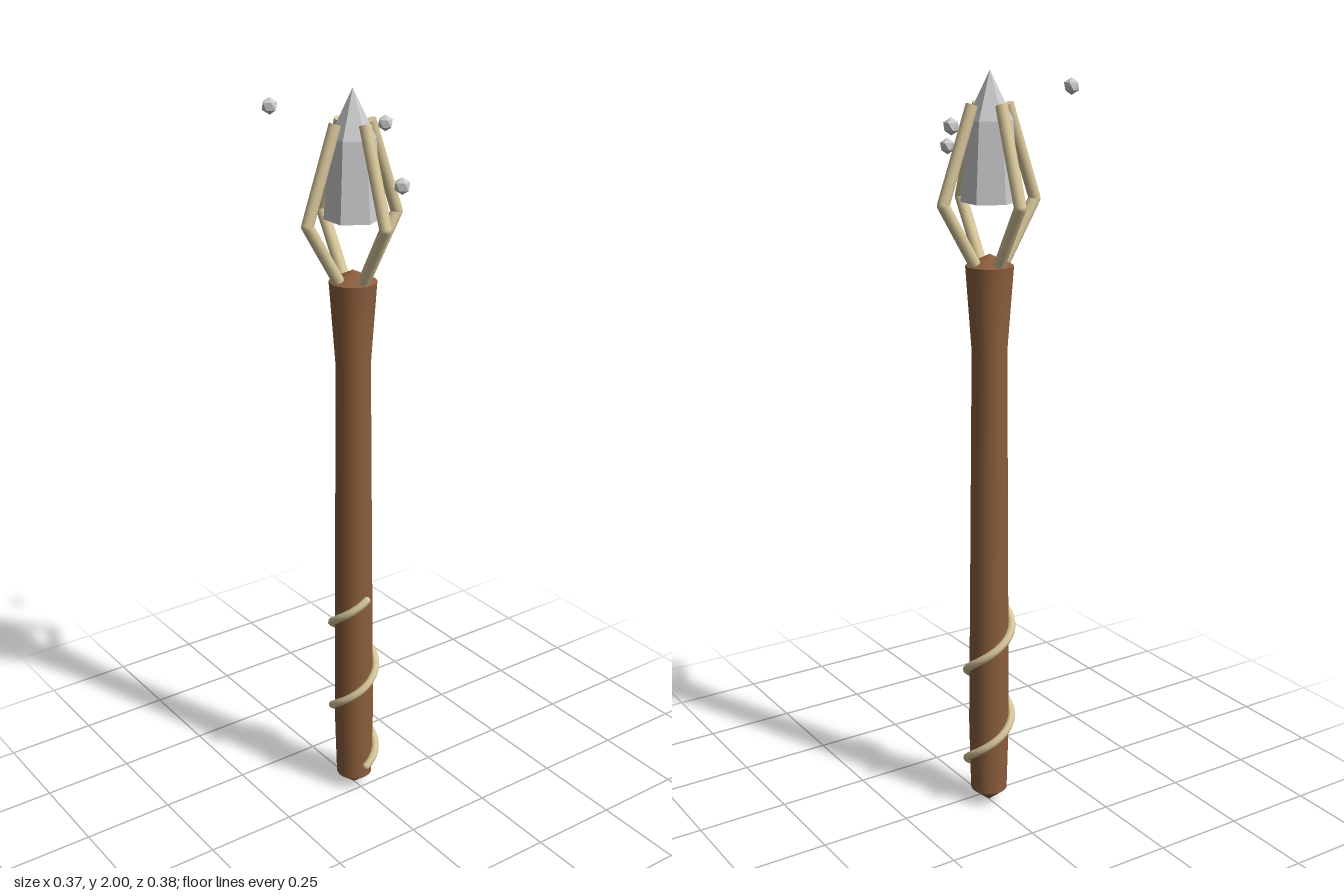
import * as THREE from 'three';

const AXIS_X = -0.034;

const wood = new THREE.MeshStandardMaterial({ color: 0x8b5e3c });
wood.name = 'brown wood';
const bone = new THREE.MeshStandardMaterial({ color: 0xd8c79a });
bone.name = 'pale bone';
const stone = new THREE.MeshStandardMaterial({ color: 0xcccccf });
stone.name = 'grey crystal';

function part(name, geometry, material, parent) {
  const mesh = new THREE.Mesh(geometry, material);
  mesh.name = name;
  parent.add(mesh);
  return mesh;
}

// Gives every face its own normal
function faceted(geometry) {
  const flat = geometry.index ? geometry.toNonIndexed() : geometry;
  flat.computeVertexNormals();
  return flat;
}

function turned(points) {
  return new THREE.LatheGeometry(points.map(([r, y]) => new THREE.Vector2(r, y)), 24);
}

// Straight round rod between two points
function rod(name, a, b, radius, parent) {
  const dir = b.clone().sub(a);
  const mesh = part(name, new THREE.CylinderGeometry(radius, radius, dir.length(), 12), bone, parent);
  mesh.position.copy(a).add(b).multiplyScalar(0.5);
  mesh.quaternion.setFromUnitVectors(new THREE.Vector3(0, 1, 0), dir.normalize());
}

// Binding cord winding twice around the grip
class Helix extends THREE.Curve {
  getPoint(t, target = new THREE.Vector3()) {
    const a = t * Math.PI * 4;
    return target.set(0.061 * Math.cos(a), 0.09 + 0.54 * t, -0.061 * Math.sin(a));
  }
}

export function createModel() {
  const model = new THREE.Group();
  model.name = 'staff';
  const staff = new THREE.Group();
  staff.name = 'staffBody';
  staff.position.x = AXIS_X;
  model.add(staff);

  // Shaft with pointed ends
  part('shaftTip', turned([[0, 0.003], [0.05, 0.045]]), wood, staff);
  part('shaft', turned([[0.05, 0.045], [0.055, 0.25], [0.051, 0.7], [0.046, 1.3], [0.062, 1.52]]), wood, staff);
  part('shaftTop', turned([[0.062, 1.52], [0, 1.55]]), wood, staff);

  // Cord with rounded ends
  const helix = new Helix();
  part('cord', new THREE.TubeGeometry(helix, 96, 0.011, 8), bone, staff);
  for (const t of [0, 1]) {
    part('cordEnd', new THREE.SphereGeometry(0.011, 8, 6), bone, staff).position.copy(helix.getPoint(t));
  }

  // Four bent prongs caging the crystal
  for (let i = 0; i < 4; i++) {
    const prong = new THREE.Group();
    prong.name = 'prong';
    prong.rotation.y = i * Math.PI / 2;
    staff.add(prong);
    const base = new THREE.Vector3(0.044, 1.525, 0);
    const knee = new THREE.Vector3(0.136, 1.68, 0);
    const end = new THREE.Vector3(0.052, 1.918, 0);
    rod('prongLower', base, knee, 0.0155, prong);
    rod('prongUpper', knee, end, 0.0155, prong);
    part('prongKnee', new THREE.SphereGeometry(0.0155, 12, 8), bone, prong).position.copy(knee);
  }

  // Six-sided crystal: tapered body and point
  const crystal = new THREE.Group();
  crystal.name = 'crystal';
  crystal.rotation.y = Math.PI / 6;
  staff.add(crystal);
  part('crystalBody', faceted(new THREE.CylinderGeometry(0.058, 0.073, 0.2, 6, 1)), stone, crystal).position.y = 1.78;
  part('crystalPoint', faceted(new THREE.ConeGeometry(0.058, 0.12, 6, 1, true)), stone, crystal).position.y = 1.94;

  // Three small stones floating around the head
  const pebble = faceted(new THREE.IcosahedronGeometry(0.021, 0).rotateX(-1.0172));
  [1.8, 1.88, 1.96].forEach((y, i) => {
    const a = i * Math.PI * 2 / 3;
    part('floatingStone', pebble, stone, staff).position.set(0.2 * Math.cos(a), y, -0.2 * Math.sin(a));
  });

  return model;
}
